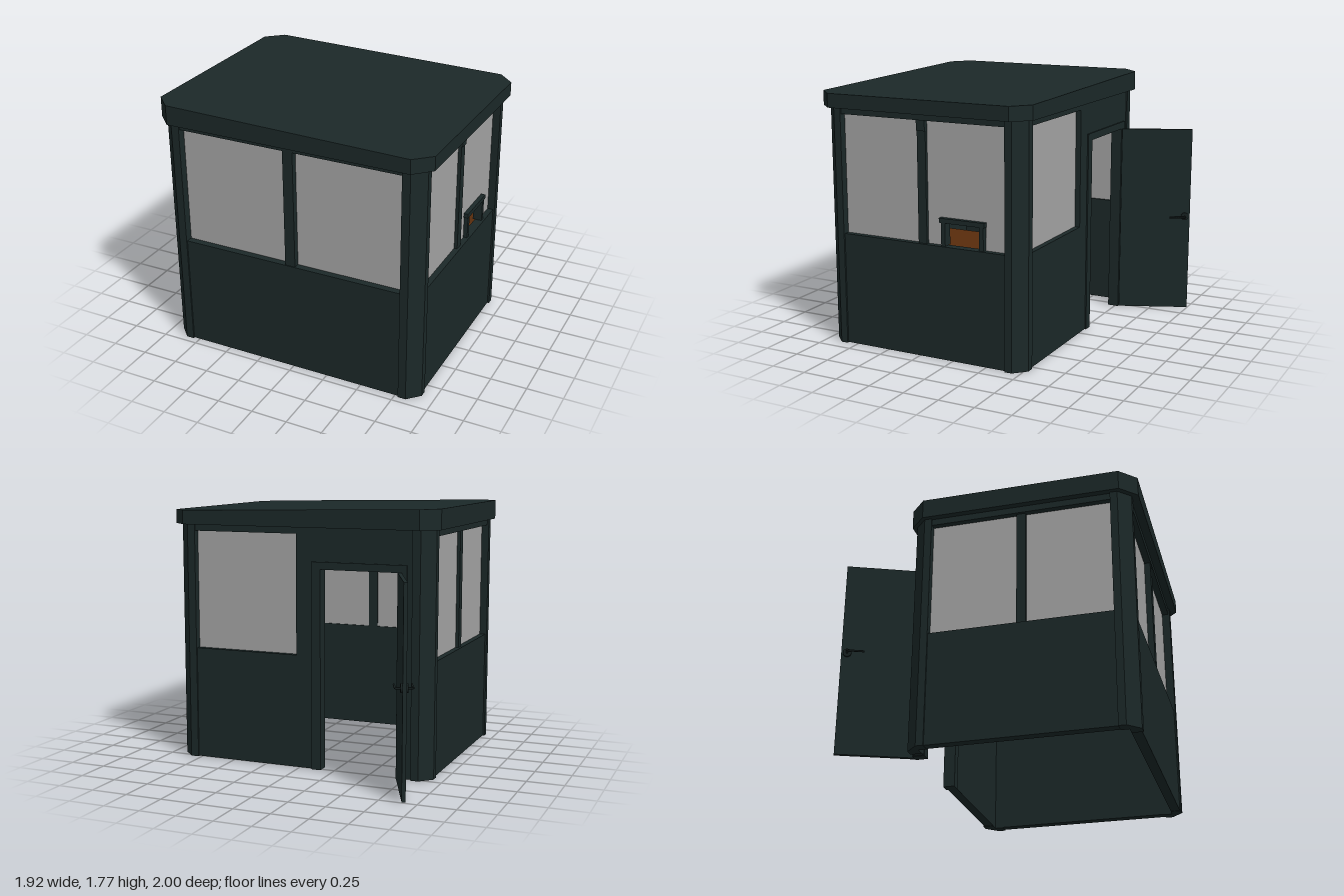
import * as THREE from 'three';

export function createModel() {
  const root = new THREE.Group();
  const mat = (name, color) => Object.assign(new THREE.MeshStandardMaterial({ color }), { name });
  const green = mat('darkGreenPaint', 0x1b2828);
  const glass = mat('greyGlass', 0xa4a4a4);
  const wood = mat('brownWood', 0x582c0c);
  const metal = mat('darkMetal', 0x161f1f);

  const add = (name, geo, m = green, parent = root) => {
    const mesh = new THREE.Mesh(geo, m);
    mesh.name = name;
    parent.add(mesh);
    return mesh;
  };
  // Box given by its limits on each axis
  const box = (name, x0, x1, y0, y1, z0, z1, m = green, parent = root) => {
    const mesh = add(name, new THREE.BoxGeometry(x1 - x0, y1 - y0, z1 - z0), m, parent);
    mesh.position.set((x0 + x1) / 2, (y0 + y1) / 2, (z0 + z1) / 2);
    return mesh;
  };
  // Upright prism from a plan outline of [x, z] points
  const prism = (points, y0, y1) => {
    const shape = new THREE.Shape(points.map(([x, z]) => new THREE.Vector2(x, -z)));
    const geo = new THREE.ExtrudeGeometry(shape, { depth: y1 - y0, bevelEnabled: false });
    return geo.rotateX(-Math.PI / 2).translate(0, y0, 0);
  };

  const X0 = -0.93, X1 = 0.911, Z0 = -0.525, Z1 = 0.955;
  const BASE = 0.025, SILL = 0.797, HEAD = 1.61, TOP = 1.66;
  const T = 0.075; // wall depth measured from the outer edge

  // L-shaped corner posts with a chamfered outer edge
  const PX = 0.136, PZ = 0.13, C = 0.081;
  for (const [x, sx] of [[X0, 1], [X1, -1]]) {
    for (const [z, sz] of [[Z0, 1], [Z1, -1]]) {
      const outline = [[C, 0], [PX, 0], [PX, T], [T, T], [T, PZ], [0, PZ], [0, C]]
        .map(([a, b]) => [x + sx * a, z + sz * b]);
      add('cornerPost', prism(outline, 0.022, TOP));
    }
  }

  // Front wall
  const fz = Z1 - T;
  box('frontPanel', -0.795, 0.775, BASE, SILL, fz, 0.945);
  box('frontHeader', -0.795, 0.775, HEAD, TOP, fz, 0.945);
  box('frontMullion', -0.043, 0.028, SILL, HEAD, fz, 0.94);
  box('frontWindow', -0.795, -0.043, SILL, HEAD, 0.89, 0.898, glass);
  box('frontWindow', 0.028, 0.775, SILL, HEAD, 0.89, 0.898, glass);

  // Side walls
  for (const [edge, s] of [[X0, 1], [X1, -1]]) {
    const slab = (name, a, b, y0, y1, z0, z1, m) =>
      box(name, Math.min(edge + s * a, edge + s * b), Math.max(edge + s * a, edge + s * b), y0, y1, z0, z1, m);
    slab('sidePanel', 0.012, T, BASE, SILL, -0.395, 0.83);
    slab('sideHeader', 0.012, T, HEAD, TOP, -0.395, 0.83);
    slab('sideMullion', 0.03, T, SILL, HEAD, 0.19, 0.253);
    slab('sideWindow', 0.052, 0.06, SILL, HEAD, 0.253, 0.83, glass);
    if (s > 0) slab('sideWindow', 0.052, 0.06, SILL, HEAD, -0.395, 0.19, glass);
  }

  // Side window with a service hatch cut into it
  const H0 = -0.235, H1 = 0.085, HY = 0.983;
  for (const [y0, y1, z0, z1] of [[HY, HEAD, -0.395, 0.19], [SILL, HY, -0.395, H0], [SILL, HY, H1, 0.19]]) {
    box('hatchWindow', 0.851, 0.859, y0, y1, z0, z1, glass);
  }
  box('hatchTop', 0.815, 0.89, 0.952, HY, H0 - 0.005, H1 + 0.008);
  box('hatchSide', 0.82, 0.885, SILL, 0.952, H1 - 0.035, H1 - 0.005);
  box('hatchSide', 0.82, 0.885, SILL, 0.952, H0 + 0.005, H0 + 0.035);
  box('mullionBracket', 0.88, 0.89, 1.54, HEAD, 0.19, 0.253);

  // Back wall with a window and a doorway
  const bz0 = -0.515, bz1 = Z0 + T;
  box('backPanel', 0.02, 0.775, BASE, SILL, bz0, bz1);
  box('backHeader', 0.02, 0.775, HEAD, TOP, bz0, bz1);
  box('backWindow', 0.02, 0.775, SILL, HEAD, -0.478, -0.47, glass);
  box('backPier', -0.1, 0.02, BASE, TOP, bz0, bz1);
  box('backPier', -0.795, -0.755, BASE, TOP, bz0, bz1);
  box('overDoorPanel', -0.755, -0.1, 1.43, TOP, bz0, bz1);
  box('doorJamb', -0.158, -0.093, 0.022, 1.43, -0.524, -0.445);
  box('doorJamb', -0.758, -0.695, 0.022, 1.43, -0.524, -0.445);
  box('doorHead', -0.695, -0.158, 1.38, 1.43, -0.524, -0.445);

  // Open door, swung about its hinge
  const door = new THREE.Group();
  door.name = 'door';
  door.position.set(-0.71, 0, -0.525);
  door.rotation.y = Math.atan2(0.919, -0.395);
  root.add(door);
  box('doorLeaf', 0, 0.51, BASE, 1.38, -0.0125, 0.0125, green, door);
  for (const s of [-1, 1]) {
    const rose = add('handleRose', new THREE.CylinderGeometry(0.028, 0.028, 0.012, 16), metal, door);
    rose.rotation.x = Math.PI / 2;
    rose.position.set(0.472, 0.73, s * 0.018);
    const lever = new THREE.CurvePath();
    const p = [[0.472, 0.015], [0.472, 0.056], [0.36, 0.056]].map(([x, z]) => new THREE.Vector3(x, 0.73, s * z));
    lever.add(new THREE.LineCurve3(p[0], p[1]));
    lever.add(new THREE.LineCurve3(p[1], p[2]));
    add('handleLever', new THREE.TubeGeometry(lever, 16, 0.007, 8), metal, door);
  }

  // Desk inside, along the hatch wall
  box('desk', 0.32, 0.836, 0.73, 0.76, -0.45, 0.66, wood);

  // Roof slab with cut corners, its top sloping down to one side
  const rx0 = -0.96, rx1 = 0.957, rz0 = -0.56, rz1 = 1, c = 0.11;
  const roof = prism([
    [rx0 + c, rz0], [rx1 - c, rz0], [rx1, rz0 + c], [rx1, rz1 - c],
    [rx1 - c, rz1], [rx0 + c, rz1], [rx0, rz1 - c], [rx0, rz0 + c],
  ], 1.655, 1.79);
  const pos = roof.attributes.position;
  for (let i = 0; i < pos.count; i++) {
    if (pos.getY(i) > 1.7) pos.setY(i, 1.79 - 0.04 * (pos.getX(i) - rx0) / (rx1 - rx0));
  }
  roof.computeVertexNormals();
  add('roof', roof);

  return root;
}
